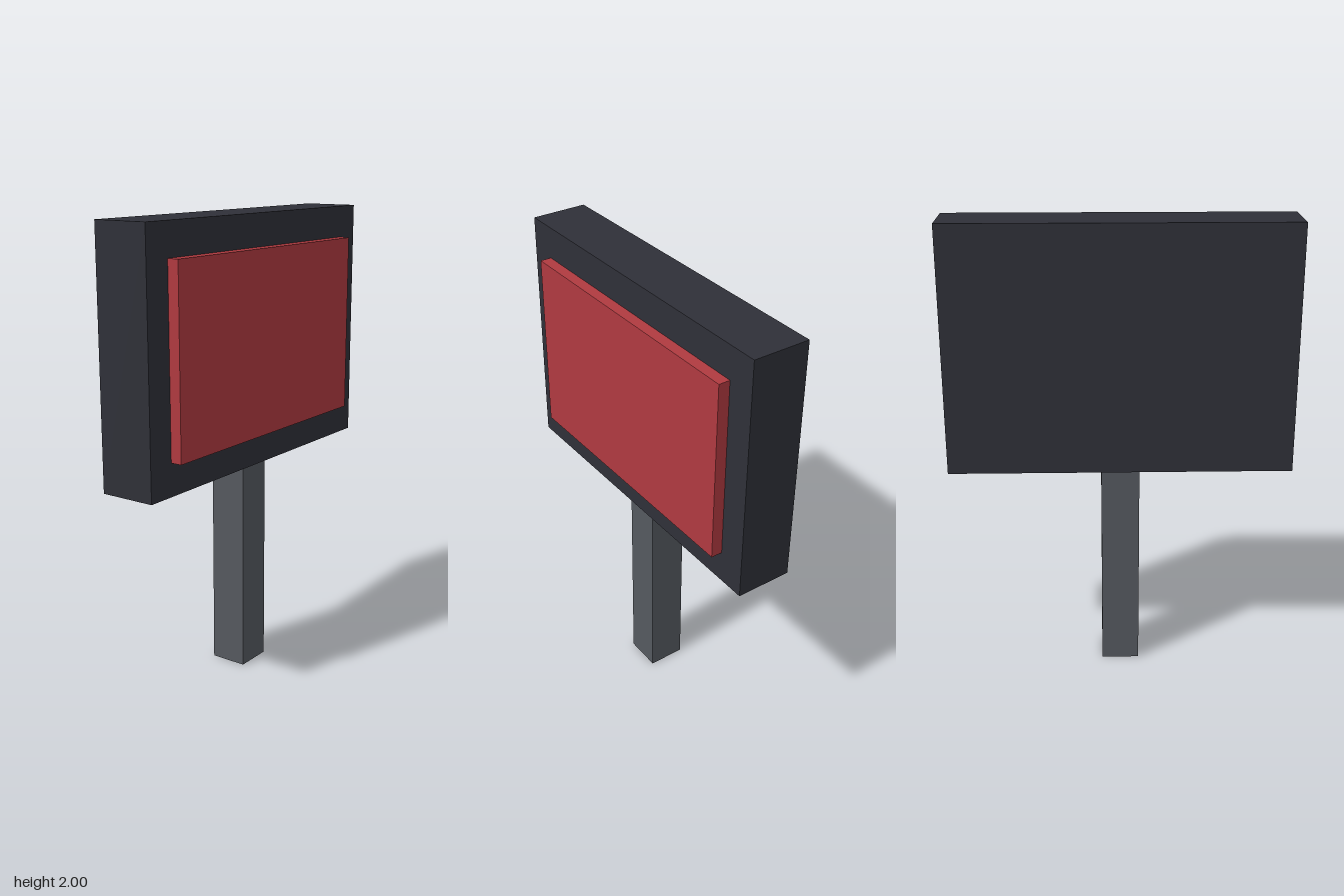
import * as THREE from 'three';

// Box given by its minimum and maximum corners
function block(name, color, min, max) {
  const size = max.map((v, i) => v - min[i]);
  const mesh = new THREE.Mesh(
    new THREE.BoxGeometry(...size),
    new THREE.MeshStandardMaterial({ color })
  );
  mesh.position.set(...max.map((v, i) => (v + min[i]) / 2));
  mesh.name = name;
  return mesh;
}

export function createModel() {
  const model = new THREE.Group();
  model.name = 'signPost';
  model.add(
    // Square post under the board
    block('post', 0x55595f, [-0.082, 0, -0.106], [0.082, 0.942, 0.057]),
    // Thick dark board
    block('board', 0x2f3038, [-0.734, 0.942, -0.147], [0.734, 2, 0.098]),
    // Raised red panel on the front
    block('panel', 0xb03a40, [-0.612, 1.08, 0.098], [0.612, 1.862, 0.147])
  );
  return model;
}
